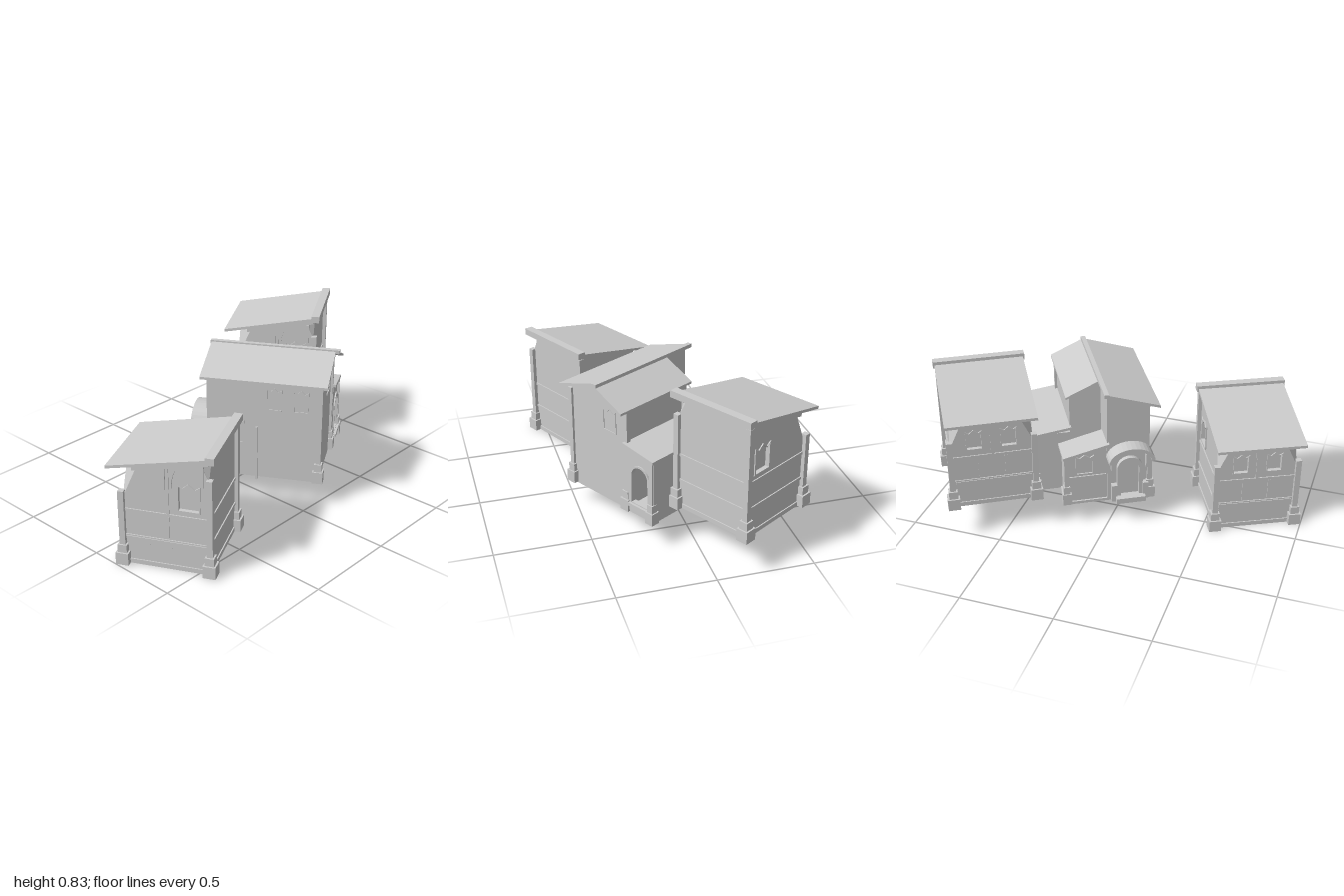
import * as THREE from 'three';

const mat = new THREE.MeshStandardMaterial({ color: 0xcccccc, flatShading: true, side: THREE.DoubleSide });

function add(parent, name, geo, x = 0, y = 0, z = 0) {
  const m = new THREE.Mesh(geo, mat);
  m.name = name;
  m.position.set(x, y, z);
  parent.add(m);
  return m;
}
const box = (p, name, w, h, d, x, y, z) => add(p, name, new THREE.BoxGeometry(w, h, d), x, y, z);
const poly = (pts) => new THREE.Shape(pts.map((a) => new THREE.Vector2(...a)));

// Shape in x,y extruded along z
function plate(p, name, shape, z0, z1) {
  return add(p, name, new THREE.ExtrudeGeometry(shape, { depth: z1 - z0, bevelEnabled: false, curveSegments: 8 }), 0, 0, z0);
}
// Profile given in z,y extruded along x
function prism(p, name, pts, x0, x1) {
  const g = new THREE.ExtrudeGeometry(poly(pts), { depth: x1 - x0, bevelEnabled: false });
  g.rotateY(-Math.PI / 2);
  return add(p, name, g, x1, 0, 0);
}

// Window outline with a notched, pointed head
function windowOutline(cx, y, w, h, k = 1) {
  const a = (w / 2) * k, e = (k - 1) * w / 2;
  return [[cx - a, y - e], [cx + a, y - e], [cx + a, y + h + e], [cx + a * 0.55, y + h * 0.87 + e], [cx, y + h * 1.07 + e],
    [cx - a * 0.55, y + h * 0.87 + e], [cx - a, y + h + e]];
}
function windowFrame(p, win, k, z0, z1) {
  const s = poly(windowOutline(...win, k));
  s.holes.push(poly(windowOutline(...win)));
  plate(p, 'windowFrame', s, z0, z1);
}

// Hanging trim: a strip with pointed arches between pendants
function scallops(p, x0, x1, y, n, z) {
  const s = new THREE.Shape();
  const step = (x1 - x0) / n, drop = 0.038;
  s.moveTo(x0, y);
  s.lineTo(x0, y - drop);
  for (let i = 0; i < n; i++) {
    const a = x0 + i * step;
    s.quadraticCurveTo(a + step * 0.1, y - 0.02, a + step * 0.5, y - 0.012);
    s.quadraticCurveTo(a + step * 0.9, y - 0.02, a + step, y - drop);
  }
  s.lineTo(x1, y);
  plate(p, 'scallopTrim', s, z, z + 0.01);
}

// Curved knee brace growing from a post at x, toward dir
function brace(p, x, y, dir, w, h, z) {
  const s = new THREE.Shape();
  s.moveTo(x, y);
  s.lineTo(x + dir * w, y);
  s.quadraticCurveTo(x + dir * 0.015, y - h * 0.15, x + dir * 0.012, y - h);
  s.lineTo(x, y - h);
  plate(p, 'kneeBrace', s, z, z + 0.008);
}

function cornerPost(p, x, z, y0, top, s = 1) {
  box(p, 'postFoot', 0.065 * s, 0.065, 0.065 * s, x, y0 + 0.0325, z);
  box(p, 'postPlinth', 0.047 * s, 0.045, 0.047 * s, x, y0 + 0.085, z);
  box(p, 'cornerPost', 0.03 * s, top - y0 - 0.1, 0.03 * s, x, (y0 + 0.1 + top) / 2, z);
}

// Splayed facet closing a corner that is cut back toward the roof
function cornerFacet(p, x, z, c, y0, y1) {
  const g = new THREE.BufferGeometry();
  const inX = x - Math.sign(x) * c, inZ = z - Math.sign(z) * c;
  g.setAttribute('position', new THREE.Float32BufferAttribute([x, y0, z, inX, y1, z, x, y1, inZ], 3));
  g.computeVertexNormals();
  add(p, 'cornerFacet', g);
}

// Half-timbered face: outline, horizontal beams, uprights and windows
function timberFace(house, name, outline, rotY, dist, { windows = [], uprights = [], trim = 0 }) {
  const f = new THREE.Group();
  f.name = name;
  f.rotation.y = rotY;
  house.add(f);
  const wall = poly(outline);
  windows.forEach((w) => wall.holes.push(poly(windowOutline(...w))));
  plate(f, 'wall', wall, dist - 0.015, dist);
  windows.forEach((w) => {
    windowFrame(f, w, 1.15, dist - 0.004, dist + 0.006);
    plate(f, 'windowPane', poly(windowOutline(...w)), dist - 0.022, dist - 0.018);
  });
  [[0.012, 0.024], [0.155, 0.014], [0.298, 0.014]].forEach(([y, h]) => box(f, 'beam', 0.42, h, 0.012, 0, y, dist));
  uprights.forEach(([x, y0, y1]) => box(f, 'upright', 0.014, y1 - y0, 0.01, x, (y0 + y1) / 2, dist));
  if (trim) scallops(f, -0.2, 0.2, 0.155, trim, dist);
  return f;
}

// Small house with a single-pitch roof: high side +x, eave -x
function leanHouse() {
  const h = new THREE.Group(), a = 0.215;
  const roofY = (x) => 0.515 + (x + 0.29) * 0.2;
  const low = { c: 0.08, y: 0.36 }, high = { c: 0.05, y: 0.51 };
  const eaveCut = [-a + low.c, roofY(-a + low.c)];
  const mirror = (pts) => pts.map(([x, y]) => [-x, y]);

  // Gables: eave corners are cut back, as is the high front corner
  const frontOutline = [[-a, 0], [a, 0], [a, high.y], [a - high.c, roofY(a - high.c)], eaveCut, [-a, low.y]];
  const backOutline = mirror([[-a, 0], [a, 0], [a, roofY(a)], eaveCut, [-a, low.y]]);
  for (const m of [1, -1]) {
    const f = timberFace(h, m > 0 ? 'frontGable' : 'backGable', m > 0 ? frontOutline : backOutline, m > 0 ? 0 : Math.PI, a, {
      windows: [[0.115 * m, 0.335, 0.1, 0.13]],
      uprights: m > 0 ? [[0.01, 0.305, 0.56], [0.01, 0.165, 0.29]] : [],
      trim: m > 0 ? 7 : 0,
    });
    plate(f, 'rakeBeam', poly([[-0.16 * m, roofY(-0.16) - 0.02], [a * m, roofY(a) - 0.02], [a * m, roofY(a)], [-0.16 * m, roofY(-0.16)]]), a, a + 0.016);
    if (m > 0) {
      brace(f, 0, 0.565, -1, 0.09, 0.13, a);
      brace(f, 0.02, 0.57, 1, 0.06, 0.12, a);
      brace(f, 0.19, 0.585, -1, 0.07, 0.11, a);
    }
  }
  const y1 = roofY(-a);
  const eave = timberFace(h, 'eaveWall', [[-a, 0], [a, 0], [a, low.y], [a - low.c, y1], [-a + low.c, y1], [-a, low.y]], -Math.PI / 2, a, {
    windows: [[-0.09, 0.345, 0.075, 0.1], [0.09, 0.345, 0.075, 0.1]],
    uprights: [[0, 0.305, 0.53], [-0.07, 0.165, 0.29], [0.07, 0.165, 0.29]],
    trim: 6,
  });
  for (const m of [1, -1]) brace(eave, 0, 0.53, m, 0.07, 0.1, a);
  timberFace(h, 'highWall', [[-a, 0], [a, 0], [a, roofY(a)], [-a + high.c, roofY(a)], [-a, high.y]], Math.PI / 2, a, {});

  for (const z of [-1, 1]) {
    cornerPost(h, -0.22, z * 0.22, 0, 0.4);
    cornerPost(h, 0.22, z * 0.22, 0, z > 0 ? 0.52 : 0.6);
    cornerFacet(h, -a, z * a, low.c, low.y, y1);
  }
  cornerFacet(h, a, a, high.c, high.y, roofY(a));
  plate(h, 'roof', poly([[-0.29, 0.515], [0.22, roofY(0.22)], [0.22, roofY(0.22) + 0.015], [-0.29, 0.53]]), -0.237, 0.237);
  box(h, 'ridgeBeam', 0.044, 0.036, 0.49, 0.226, 0.628, 0);
  return h;
}

// Central hall with clerestory roof, side wing, rear porch and hooded door
function hall() {
  const h = new THREE.Group(), b = 0.13;
  box(h, 'floorSlab', 0.6, 0.015, 0.46, 0.19, b, -0.08);
  box(h, 'porchFloor', 0.43, 0.015, 0.13, 0.275, b, -0.375);
  prism(h, 'hallEnd', [[0.15, b], [0.15, 0.7], [-0.08, 0.775], [-0.08, b]], -0.11, 0.06);
  prism(h, 'hallBody', [[0.15, b], [0.15, 0.7], [-0.08, 0.775], [-0.25, 0.695], [-0.25, b]], 0.06, 0.49);
  prism(h, 'frontRoof', [[0.2, 0.683], [0.2, 0.697], [-0.09, 0.79], [-0.09, 0.774]], -0.135, 0.53);
  prism(h, 'backRoof', [[-0.08, 0.77], [-0.08, 0.782], [-0.27, 0.695], [-0.27, 0.683]], 0.045, 0.55);
  box(h, 'ridgeBeam', 0.69, 0.02, 0.025, 0.205, 0.782, -0.085);

  // Posts, beams and windows of the hall
  [[-0.11, 0.15, 0.4], [0.49, 0.15, 0.68], [0.49, -0.25, 0.68]].forEach(([x, z, t]) => cornerPost(h, x, z, b, t, 0.85));
  box(h, 'drainPole', 0.012, 0.31, 0.012, 0.16, 0.265, 0.158);
  const front = new THREE.Group();
  front.name = 'frontWindows';
  h.add(front);
  [[0.04, 0.32, 0.09, 0.12], [0.25, 0.525, 0.07, 0.11], [0.39, 0.525, 0.07, 0.11]].forEach((w) => windowFrame(front, w, 1.15, 0.148, 0.154));
  const right = new THREE.Group();
  right.name = 'rightWindow';
  right.rotation.y = Math.PI / 2;
  h.add(right);
  windowFrame(right, [0.13, 0.53, 0.08, 0.11], 1.15, 0.488, 0.494);

  // Low wing on the -x end
  prism(h, 'wingBody', [[-0.08, b], [-0.08, 0.47], [-0.3, 0.415], [-0.3, b]], -0.1, 0.06);
  prism(h, 'wingRoof', [[-0.07, 0.475], [-0.07, 0.49], [-0.32, 0.43], [-0.32, 0.415]], -0.13, 0.03);
  cornerPost(h, -0.1, -0.3, b, 0.41, 0.75);
  const wing = new THREE.Group();
  wing.name = 'wingFace';
  wing.rotation.y = -Math.PI / 2;
  h.add(wing);
  windowFrame(wing, [-0.2, 0.31, 0.085, 0.1], 1.2, 0.098, 0.108);
  box(wing, 'sillBeam', 0.22, 0.014, 0.014, -0.195, 0.285, 0.1);

  // Arched door and barrel hood on the -x end
  const arch = (cx, w, y0, y1) => {
    const p = new THREE.Shape();
    p.moveTo(cx - w, y0);
    p.lineTo(cx + w, y0);
    p.lineTo(cx + w, y1);
    p.absarc(cx, y1, w, 0, Math.PI, false);
    p.lineTo(cx - w, y0);
    return p;
  };
  const frame = arch(0.04, 0.07, b, 0.325);
  frame.holes.push(arch(0.04, 0.05, b + 0.02, 0.325));
  plate(wing, 'doorFrame', frame, 0.105, 0.135);
  plate(wing, 'door', arch(0.04, 0.05, b, 0.325), 0.105, 0.114);
  box(wing, 'doorStep', 0.16, 0.03, 0.06, 0.04, b + 0.015, 0.14);
  const hood = new THREE.Shape();
  hood.absellipse(0.04, 0.4, 0.125, 0.085, 0, Math.PI, false);
  hood.absellipse(0.04, 0.4, 0.105, 0.067, Math.PI, 0, true);
  plate(wing, 'doorHood', hood, 0.105, 0.195);
  for (const m of [-1, 1]) {
    box(wing, 'hoodBracket', 0.016, 0.08, 0.03, 0.04 + m * 0.095, 0.365, 0.123);
    box(wing, 'doorPost', 0.03, 0.1, 0.035, 0.04 + m * 0.085, b + 0.05, 0.125);
  }

  // Rear porch with an arched end
  const end = new THREE.Group();
  end.name = 'porchEnd';
  end.rotation.y = Math.PI / 2;
  h.add(end);
  const wall = poly([[0.25, b], [0.45, b], [0.45, 0.475], [0.25, 0.505]]);
  wall.holes.push(arch(0.355, 0.055, 0.2, 0.355));
  plate(end, 'archWall', wall, 0.485, 0.505);
  const ring = arch(0.355, 0.066, 0.195, 0.355);
  ring.holes.push(arch(0.355, 0.055, 0.2, 0.355));
  plate(end, 'archTrim', ring, 0.5, 0.512);
  box(end, 'archStep', 0.14, 0.02, 0.03, 0.355, 0.185, 0.51);
  box(h, 'porchBackWall', 0.44, 0.35, 0.015, 0.28, 0.305, -0.435);
  box(h, 'porchInnerWall', 0.015, 0.35, 0.19, 0.06, 0.305, -0.345);
  prism(h, 'porchRoof', [[-0.245, 0.503], [-0.245, 0.518], [-0.455, 0.488], [-0.455, 0.473]], 0.035, 0.52);
  cornerPost(h, 0.505, -0.435, b, 0.475, 0.75);
  cornerPost(h, 0.06, -0.435, b, 0.475, 0.6);
  return h;
}

export function createModel() {
  const g = new THREE.Group();
  const place = (name, part, x, y, z, r) => {
    part.name = name;
    part.position.set(x, y, z);
    part.rotation.y = r;
    g.add(part);
  };
  place('frontHouse', leanHouse(), 0.255, 0, 0.66, 0.465);
  place('centralHall', hall(), 0, 0, 0, 0.5236);
  place('backHouse', leanHouse(), -0.225, 0.18, -0.66, 0.54);
  return g;
}
